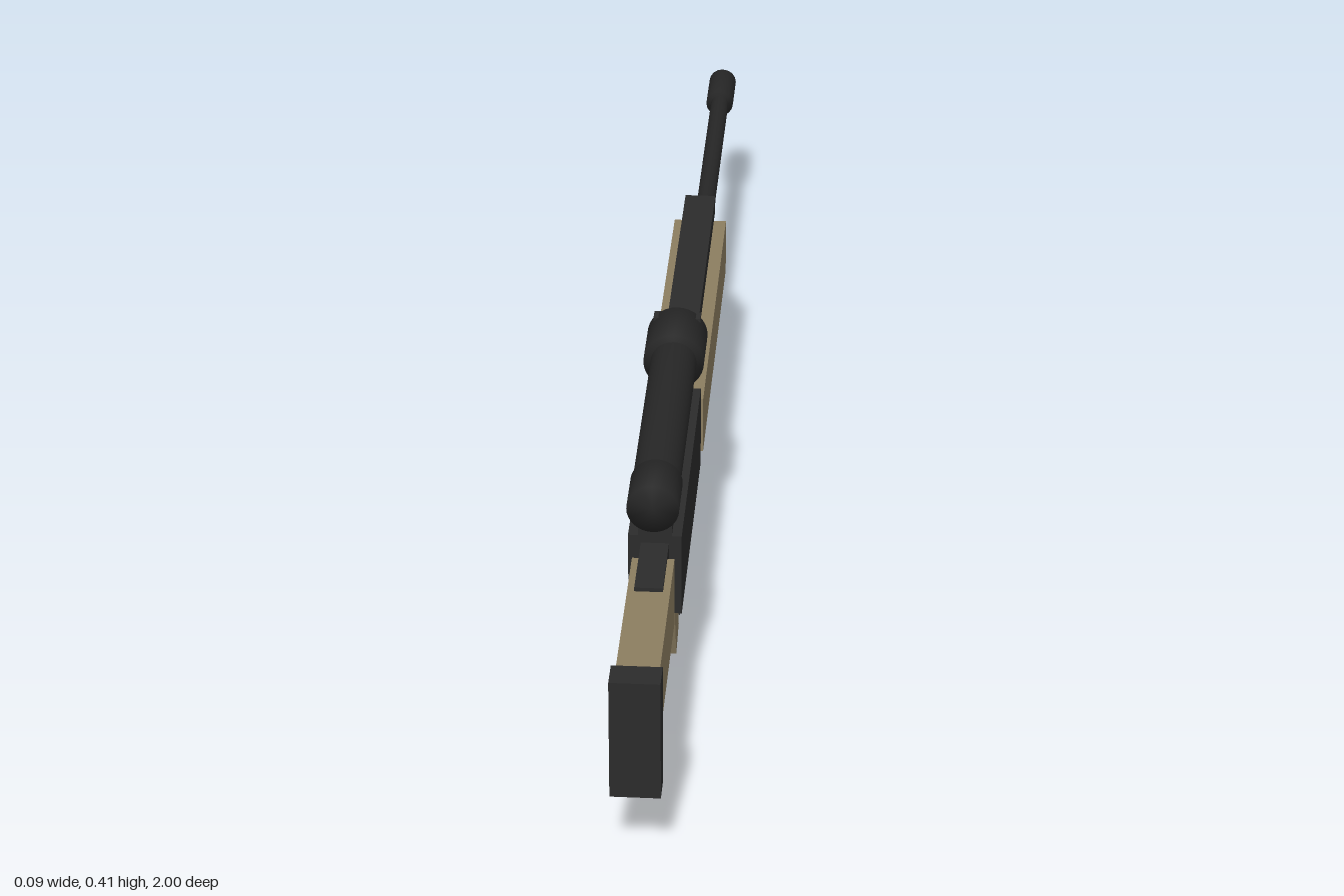
import * as THREE from 'three';
import { mergeVertices } from 'three/addons/utils/BufferGeometryUtils.js';

export function createModel() {
  const group = new THREE.Group();
  const material = (name, color) => {
    const m = new THREE.MeshStandardMaterial({ color });
    m.name = name;
    return m;
  };
  const tan = material('tan', 0x8b7d60);
  const black = material('black', 0x2b2b2b);
  const gunmetal = material('gunmetal', 0x262626);

  const add = (name, geometry, mat, y, z, tilt = 0) => {
    const mesh = new THREE.Mesh(geometry, mat);
    mesh.name = name;
    mesh.position.set(0, y, z);
    mesh.rotation.x = tilt;
    group.add(mesh);
  };

  // Box given by its width and its y and z ranges
  const block = (name, mat, w, y0, y1, z0, z1) =>
    add(name, new THREE.BoxGeometry(w, y1 - y0, z1 - z0), mat, (y0 + y1) / 2, (z0 + z1) / 2);

  // Cylinder along z, with normals blended over the rim
  const rod = (name, mat, r, y, z0, z1, sides) => {
    let g = new THREE.CylinderGeometry(r, r, z1 - z0, sides).rotateX(Math.PI / 2);
    g.deleteAttribute('normal');
    g.deleteAttribute('uv');
    g = mergeVertices(g);
    g.computeVertexNormals();
    add(name, g, mat, y, (z0 + z1) / 2);
  };

  // Stock
  block('buttPlate', black, 0.07, 0.116, 0.3, 0.957, 1);
  block('stock', tan, 0.06, 0.18, 0.285, 0.657, 0.957);
  block('stockConnector', black, 0.04, 0.257, 0.291, 0.62, 0.745);

  // Body
  block('receiver', black, 0.076, 0.175, 0.303, 0.2, 0.625);
  block('handguard', tan, 0.083, 0.195, 0.285, -0.385, 0.2);
  block('topRail', black, 0.048, 0.303, 0.33, -0.385, 0.625);

  // Barrel
  rod('barrel', gunmetal, 0.015, 0.243, -0.92, -0.38, 16);
  rod('muzzle', gunmetal, 0.023, 0.243, -1, -0.91, 16);

  // Scope
  rod('scopeTube', gunmetal, 0.034, 0.369, 0.2, 0.62, 32);
  rod('scopeEyepiece', gunmetal, 0.037, 0.369, 0.588, 0.663, 32);
  rod('scopeObjective', gunmetal, 0.045, 0.369, 0.152, 0.24, 32);
  block('scopeHood', black, 0.07, 0.334, 0.404, 0.147, 0.168);

  // Grip, trigger and magazine
  add('grip', new THREE.BoxGeometry(0.046, 0.16, 0.056), tan, 0.124, 0.521, 0.33);
  block('trigger', black, 0.024, 0.143, 0.18, 0.435, 0.478);
  add('magazine', new THREE.BoxGeometry(0.037, 0.146, 0.103), black, 0.0803, 0.318, -0.16);

  return group;
}
